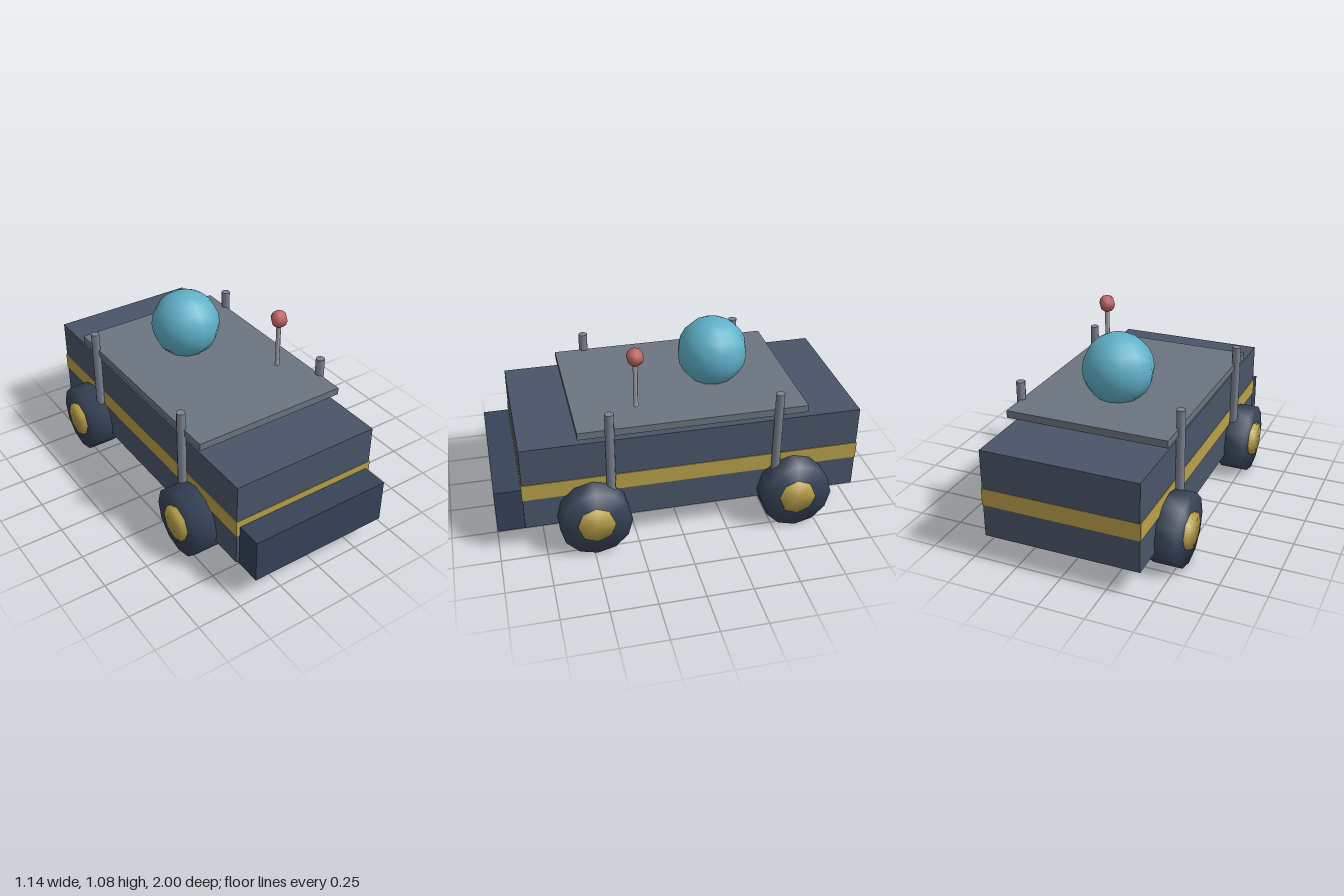
import * as THREE from 'three';
import { mergeVertices } from 'three/addons/utils/BufferGeometryUtils.js';

const mat = (color) => new THREE.MeshStandardMaterial({ color });

// Weld a geometry so its normals blend over the rims
function weld(geometry) {
  geometry.deleteAttribute('uv');
  geometry.deleteAttribute('normal');
  const welded = mergeVertices(geometry, 1e-4);
  welded.computeVertexNormals();
  return welded;
}

export function createModel() {
  const model = new THREE.Group();
  model.name = 'rover';

  const paint = {
    body: mat(0x4a5568), bumper: mat(0x374358), band: mat(0xb8a04a),
    roof: mat(0x6b7580), post: mat(0x7a8290), stem: mat(0xa8a8ac),
    dome: mat(0x5fb0c8), tip: mat(0xc06464), tyre: mat(0x374358),
  };

  const add = (name, geometry, material, x, y, z, parent = model) => {
    const mesh = new THREE.Mesh(geometry, material);
    mesh.name = name;
    mesh.position.set(x, y, z);
    parent.add(mesh);
    return mesh;
  };

  // Box given by half width and its y and z ranges
  const slab = (name, material, halfX, y0, y1, z0, z1) =>
    add(name, new THREE.BoxGeometry(halfX * 2, y1 - y0, z1 - z0), material,
      0, (y0 + y1) / 2, (z0 + z1) / 2);

  // Hull, stripe, front bumper and raised roof plate
  slab('body', paint.body, 0.428, 0.145, 0.635, -0.997, 0.855);
  slab('stripe', paint.band, 0.432, 0.325, 0.42, -1, 0.858);
  slab('frontBumper', paint.bumper, 0.41, 0.13, 0.38, 0.68, 1);
  slab('roofPlate', paint.roof, 0.445, 0.672, 0.712, -0.69, 0.553);

  // Dome sphere on the roof
  add('dome', new THREE.SphereGeometry(0.194, 12, 10), paint.dome, 0, 0.861, -0.273);

  // Antenna with ball tip
  add('antennaStem', new THREE.CylinderGeometry(0.013, 0.013, 0.285, 6), paint.stem, 0.285, 0.8775, 0.215);
  add('antennaTip', new THREE.SphereGeometry(0.049, 6, 6), paint.tip, 0.285, 1.029, 0.215);

  // Wheels with hubs, and the corner posts
  const tyre = weld(new THREE.CylinderGeometry(0.195, 0.195, 0.16, 12).rotateZ(Math.PI / 2));
  const hub = weld(new THREE.CylinderGeometry(0.1, 0.1, 0.12, 8).rotateZ(Math.PI / 2));
  const post = new THREE.CylinderGeometry(0.025, 0.025, 0.51, 8);
  for (const side of [1, -1]) {
    const sideName = side > 0 ? 'Left' : 'Right';
    for (const [end, wheelZ, postZ] of [['front', 0.485, 0.385], ['rear', -0.628, -0.525]]) {
      const wheel = new THREE.Group();
      wheel.name = `${end}${sideName}Wheel`;
      wheel.position.set(side * 0.465, 0.196, wheelZ);
      add('tyre', tyre, paint.tyre, 0, 0, 0, wheel);
      add('hub', hub, paint.band, side * 0.043, 0, 0, wheel);
      model.add(wheel);
      add(`${end}${sideName}Post`, post, paint.post, side * 0.449, 0.555, postZ);
    }
  }
  return model;
}
